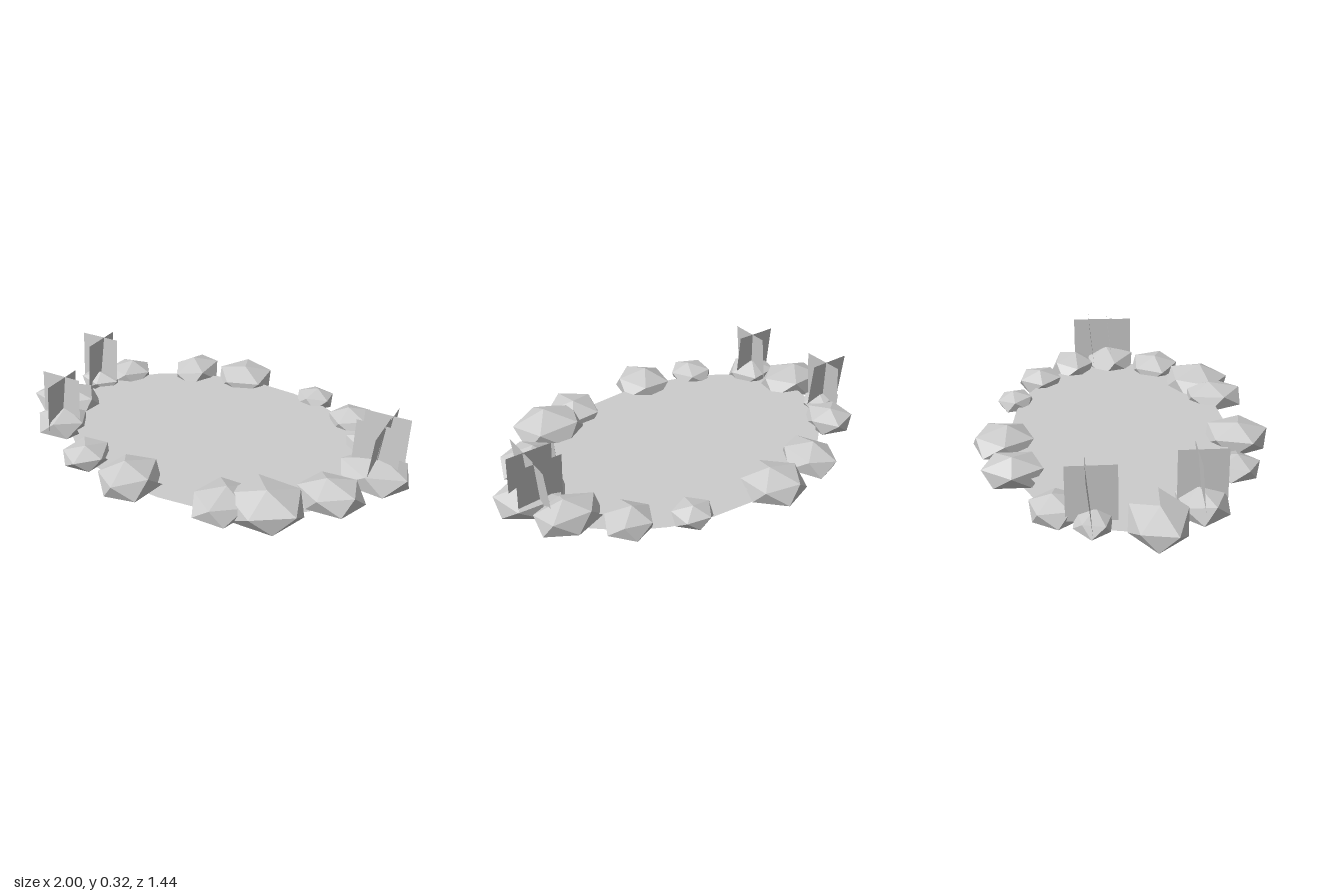
import * as THREE from 'three';

const grey = new THREE.MeshStandardMaterial({ color: 0xcccccc, side: THREE.DoubleSide, flatShading: true });
grey.name = 'paleGrey';

const WATER_Y = 0.07;

// Flat horizontal ellipse
function disc(name, x, y, z, rx, rz, sides) {
  const mesh = new THREE.Mesh(new THREE.CircleGeometry(1, sides), grey);
  mesh.geometry.rotateX(-Math.PI / 2).scale(rx, 1, rz);
  mesh.position.set(x, y, z);
  mesh.name = name;
  return mesh;
}

// Squashed icosahedron, apex up, with a flattened underside
function rock(x, z, rx, rz, top, i) {
  const geo = new THREE.IcosahedronGeometry(1, 0);
  geo.rotateZ(Math.atan(2 / (1 + Math.sqrt(5))));
  geo.rotateY(i * 1.3);
  geo.rotateX(0.16 * Math.sin(i * 2.1)).rotateZ(0.16 * Math.cos(i * 2.1));
  geo.computeBoundingBox();
  const { min, max } = geo.boundingBox;
  const p = geo.attributes.position;
  for (let k = 0; k < p.count; k++) {
    const u = (p.getX(k) - min.x) / (max.x - min.x) * 2 - 1;
    const w = (p.getZ(k) - min.z) / (max.z - min.z) * 2 - 1;
    const y = 0.07 + p.getY(k) / max.y * (top - 0.07);
    p.setXYZ(k, u * rx, Math.max(0.02, y), w * rz);
  }
  geo.computeVertexNormals();
  const mesh = new THREE.Mesh(geo, grey);
  mesh.position.set(x, 0, z);
  mesh.name = 'rock';
  return mesh;
}

// Two crossed, slightly leaning blades
function reeds(x, z) {
  const group = new THREE.Group();
  group.name = 'reedClump';
  const height = 0.25, lean = 0.025;
  for (const turn of [0, -Math.PI / 2]) {
    const geo = new THREE.PlaneGeometry(0.22, height).translate(0, height / 2, 0);
    const p = geo.attributes.position;
    for (let k = 0; k < p.count; k++) p.setZ(k, -lean * p.getY(k) / height);
    geo.rotateY(turn);
    geo.computeVertexNormals();
    const blade = new THREE.Mesh(geo, grey);
    blade.name = 'reedBlade';
    group.add(blade);
  }
  group.position.set(x, WATER_Y, z);
  return group;
}

export function createModel() {
  const model = new THREE.Group();
  model.name = 'pond';

  // Pond bed and the water surface above it
  model.add(disc('pondBed', 0, 0, 0, 0.81, 0.555, 24));
  model.add(disc('waterSurface', 0, WATER_Y, 0, 0.79, 0.54, 24));

  // Lily pads: x, z, radius
  for (const [x, z, r] of [[0.21, -0.09, 0.094], [-0.27, 0.11, 0.077], [0.04, 0.2, 0.064]])
    model.add(disc('lilyPad', x, WATER_Y + 0.004, z, r, r, 10));

  // Rocks around the bank: x, z, half width, half depth, top
  const rocks = [
    [-0.395, -0.51, 0.125, 0.14, 0.15],
    [-0.12, -0.57, 0.14, 0.15, 0.15],
    [0.32, -0.53, 0.092, 0.09, 0.125],
    [0.573, -0.405, 0.118, 0.115, 0.14],
    [0.765, -0.22, 0.145, 0.12, 0.15],
    [0.835, 0, 0.165, 0.13, 0.155],
    [0.72, 0.25, 0.152, 0.13, 0.15],
    [0.495, 0.46, 0.175, 0.175, 0.17],
    [0.32, 0.53, 0.13, 0.14, 0.145],
    [-0.137, 0.565, 0.137, 0.153, 0.155],
    [-0.43, 0.5, 0.11, 0.125, 0.13],
    [-0.717, 0.31, 0.132, 0.112, 0.15],
    [-0.83, 0.11, 0.17, 0.13, 0.16],
    [-0.815, -0.16, 0.115, 0.085, 0.125],
    [-0.72, -0.31, 0.12, 0.12, 0.14],
  ];
  rocks.forEach(([x, z, rx, rz, top], i) => model.add(rock(x, z, rx, rz, top, i)));

  // Reed clumps at both ends
  for (const [x, z] of [[-0.82, -0.165], [-0.72, 0.31], [0.835, -0.095], [0.83, 0.01]])
    model.add(reeds(x, z));

  return model;
}
